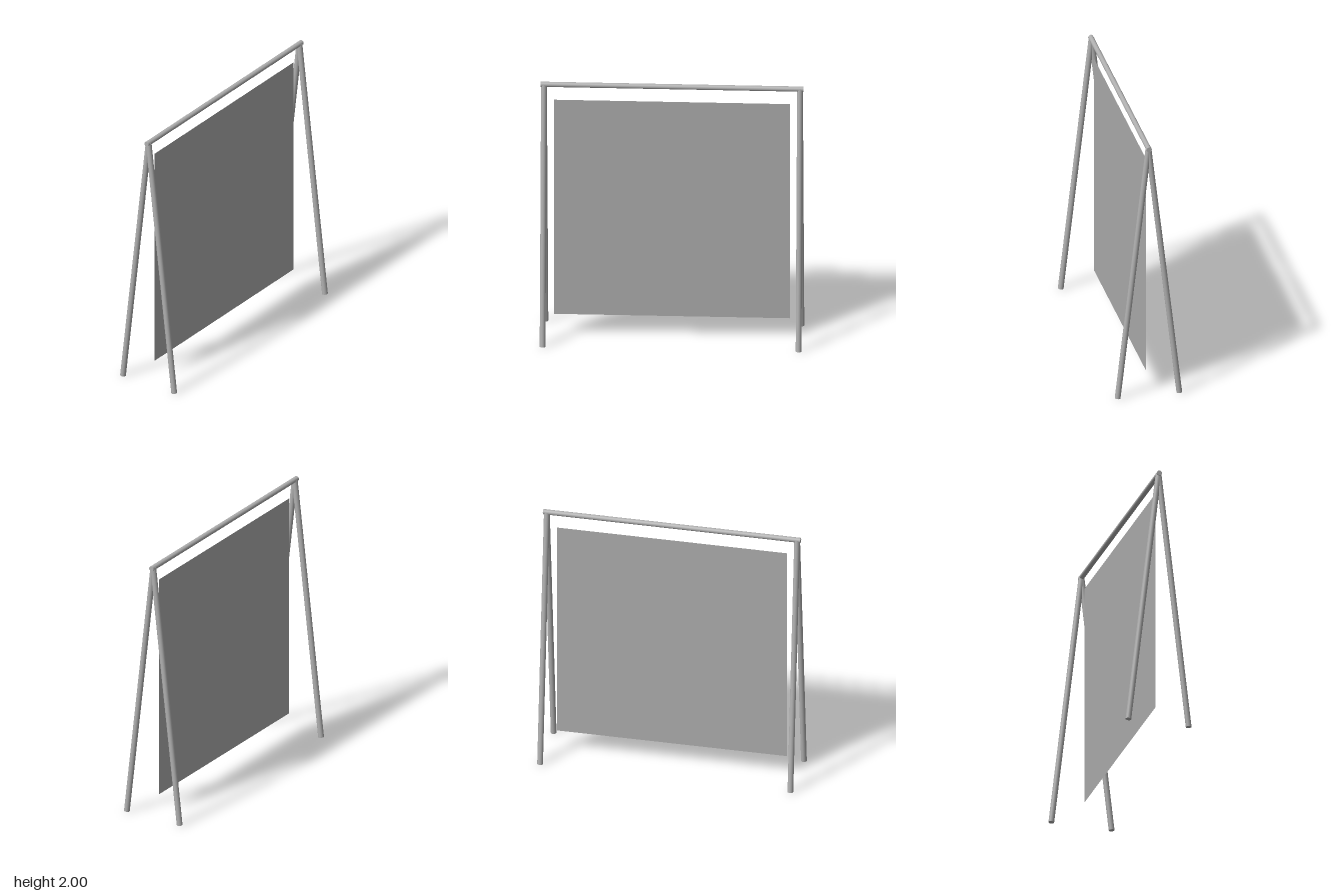
import * as THREE from 'three';

export function createModel() {
  const model = new THREE.Group();
  const steel = new THREE.MeshStandardMaterial({ color: 0xb0b0b0 });
  steel.name = 'steel grey';
  const cloth = new THREE.MeshStandardMaterial({ color: 0xacacac, side: THREE.DoubleSide });
  cloth.name = 'panel grey';

  // round tube between two points
  function tube(name, from, to, radius) {
    const dir = to.clone().sub(from);
    const mesh = new THREE.Mesh(new THREE.CylinderGeometry(radius, radius, dir.length(), 20), steel);
    mesh.position.copy(from).add(to).multiplyScalar(0.5);
    mesh.quaternion.setFromUnitVectors(new THREE.Vector3(0, 1, 0), dir.normalize());
    mesh.name = name;
    model.add(mesh);
  }

  // top rail
  tube('topRail', new THREE.Vector3(-0.95, 1.981, 0), new THREE.Vector3(0.95, 1.981, 0), 0.019);

  // two splayed legs at each end
  for (const [side, x] of [['left', 0.924], ['right', -0.924]]) {
    for (const [end, z] of [['Front', 0.228], ['Back', -0.228]]) {
      tube(side + end + 'Leg', new THREE.Vector3(x, 0.0025, z), new THREE.Vector3(x, 1.983, 0), 0.021);
    }
  }

  // thin hanging panel
  const panel = new THREE.Mesh(new THREE.PlaneGeometry(1.7, 1.7), cloth);
  panel.position.y = 1.01;
  panel.name = 'hangingPanel';
  model.add(panel);

  return model;
}
